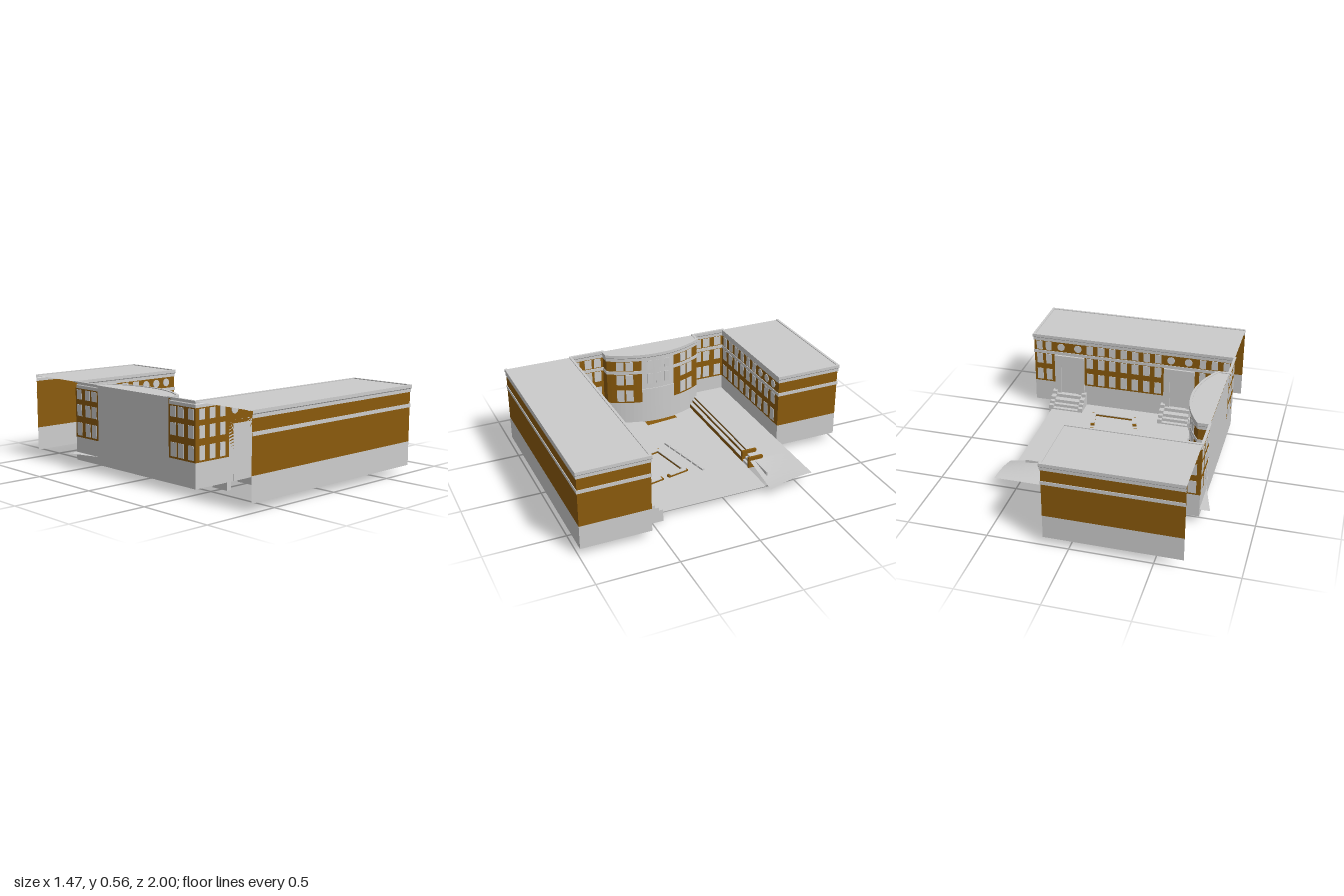
import * as THREE from 'three';

const grey = new THREE.MeshStandardMaterial({ color: 0xcccccc, side: THREE.DoubleSide, flatShading: true });
const brown = new THREE.MeshStandardMaterial({ color: 0x8a5a0c, side: THREE.DoubleSide, flatShading: true });

export function createModel() {
  const root = new THREE.Group();
  const add = (name, geo, mat = grey) => {
    const m = new THREE.Mesh(geo, mat);
    m.name = name;
    root.add(m);
    return m;
  };
  const box = (name, x0, x1, y0, y1, z0, z1, mat) =>
    add(name, new THREE.BoxGeometry(x1 - x0, y1 - y0, z1 - z0), mat)
      .position.set((x0 + x1) / 2, (y0 + y1) / 2, (z0 + z1) / 2);

  // flat polygon lying at height y, outline given as [x, z]
  const slab = (name, pts, y, mat) => {
    const g = new THREE.ShapeGeometry(new THREE.Shape(pts.map(([x, z]) => new THREE.Vector2(x, -z))));
    g.rotateX(-Math.PI / 2);
    add(name, g, mat).position.y = y;
  };

  // shift a plan path outwards with mitred corners
  const offset = (path, d) => path.map((p, i) => {
    const normal = (a, b) => {
      const dx = b[0] - a[0], dz = b[1] - a[1], l = Math.hypot(dx, dz);
      return [-dz / l, dx / l];
    };
    const n1 = normal(path[Math.max(i - 1, 0)], path[i ? i : 1]);
    const j = Math.min(i, path.length - 2);
    const n2 = normal(path[j], path[j + 1]);
    const k = d / (1 + n1[0] * n2[0] + n1[1] * n2[1]);
    return [p[0] + (n1[0] + n2[0]) * k, p[1] + (n1[1] + n2[1]) * k];
  });

  // sweep a profile of [outward, y] along a plan path
  const sweep = (name, path, profile, mat) => {
    const rows = profile.map(([d, y]) => offset(path, d).map(([x, z]) => [x, y, z]));
    const v = [];
    for (let r = 0; r < rows.length - 1; r++) for (let i = 0; i < path.length - 1; i++) {
      const a = rows[r][i], b = rows[r][i + 1], c = rows[r + 1][i + 1], e = rows[r + 1][i];
      v.push(...a, ...b, ...c, ...a, ...c, ...e);
    }
    const g = new THREE.BufferGeometry();
    g.setAttribute('position', new THREE.Float32BufferAttribute(v, 3));
    g.computeVertexNormals();
    add(name, g, mat);
  };

  // bow front: arc bulging towards +x
  const R = 0.5945, cx = -1.0945, half = 0.588;
  const arc = (a0, a1, n) => Array.from({ length: n + 1 }, (_, i) => {
    const a = a0 + (a1 - a0) * i / n;
    return [cx + R * Math.cos(a), R * Math.sin(a)];
  });
  const bow = [[-0.67, 0.33], ...arc(half, -half, 24), [-0.67, -0.33]];
  const front = [[-0.67, 0.992], [0.723, 0.992], [0.723, 0.555], [-0.67, 0.555]];
  const back = [[-0.67, -0.56], [0.157, -0.56], [0.157, -0.992], [-0.67, -0.992]];
  const outline = [...front, ...bow, ...back];

  // walls in stacked layers
  sweep('stoneBase', outline, [[0, 0.05], [0, 0.2]], grey);
  sweep('brickWall', outline, [[0, 0.2], [0, 0.512]], brown);
  sweep('beltCourse', outline, [[0, 0.415], [0.004, 0.415], [0.004, 0.437], [0, 0.437]], grey);
  sweep('cornice', outline, [[0, 0.51], [0.004, 0.51], [0.004, 0.53], [0.008, 0.535], [0.008, 0.555], [-0.008, 0.555], [-0.008, 0.548]], grey);
  slab('frontWingRoof', front, 0.55);
  slab('backWingRoof', back, 0.55);
  slab('bowRoof', bow, 0.55);
  add('bowBackWall', new THREE.PlaneGeometry(0.66, 0.5).rotateY(-Math.PI / 2)).position.set(-0.671, 0.3, 0);

  // windows: three rows at a plan position, facing angle ry (0 = +z)
  const rows = [[0.212, 0.295], [0.337, 0.41], [0.443, 0.505]];
  const windows = (x, z, ry, w, which = [0, 1, 2]) => which.forEach(r => {
    const [y0, y1] = rows[r];
    const m = add('window', new THREE.BoxGeometry(w, y1 - y0, 0.006));
    m.position.set(x, (y0 + y1) / 2, z);
    m.rotation.y = ry;
  });
  const roundel = (x, z) => add('roundWindow', new THREE.CylinderGeometry(0.026, 0.026, 0.008, 20).rotateX(Math.PI / 2)).position.set(x, 0.474, z);

  for (let i = 0; i < 7; i++) windows(-0.155 + i * 0.08, 0.555, 0, 0.046);
  for (const x of [0.62, 0.685, -0.46, -0.54, -0.62]) windows(x, 0.555, 0, 0.042);
  for (let i = 0; i < 9; i++) {
    const x = -0.62 + i * 0.088;
    windows(x, -0.56, 0, 0.05, i > 5 ? [0, 1] : [0, 1, 2]);
    if (i > 5) roundel(x, -0.56);
  }
  for (const s of [-1, 1]) {
    for (const z of [0.37, 0.435, 0.52]) windows(-0.67, s * z, Math.PI / 2, 0.048);
    for (const z of [0.195, 0.252]) {
      const a = Math.asin(s * z / R);
      windows(cx + R * Math.cos(a), R * Math.sin(a), Math.PI / 2 - a, 0.05);
    }
  }

  // stone centre bay of the bow with its portal
  const bay = Math.asin(0.115 / R);
  sweep('bowCentreBay', arc(bay, -bay, 8), [[0, 0.05], [0.004, 0.05], [0.004, 0.512], [0, 0.512]], grey);
  sweep('bowPortal', arc(bay, -bay, 8), [[0, 0.05], [0.01, 0.05], [0.01, 0.3], [0, 0.3]], grey);
  for (const z of [-0.06, 0, 0.06]) windows(-0.497, z, Math.PI / 2, 0.035, [1, 2]);
  slab('doorMat', [[-0.505, -0.12], [-0.465, -0.12], [-0.44, 0.105], [-0.5, 0.105]], 0.053, brown);

  // arched portals with stairs on the courtyard side of the front wing
  const stepped = (lift, floor) => new THREE.Shape([
    [0.555, floor], [0.555, 0.145 + lift], [0.52, 0.145 + lift], [0.52, 0.122 + lift], [0.48, 0.122 + lift],
    [0.48, 0.1 + lift], [0.455, 0.1 + lift], [0.455, 0.08 + lift], [0.43, 0.08 + lift], [0.43, floor],
  ].map(([z, y]) => new THREE.Vector2(-z, y)));
  const stair = (name, x, w, lift, floor) => {
    const g = new THREE.ExtrudeGeometry(stepped(lift, floor), { depth: w, bevelEnabled: false });
    g.rotateY(Math.PI / 2);
    add(name, g).position.x = x - w / 2;
  };
  for (const x of [-0.303, 0.47]) {
    const s = new THREE.Shape([[-0.105, 0.05], [0.105, 0.05], [0.105, 0.413], [-0.105, 0.413]].map(p => new THREE.Vector2(...p)));
    const hole = new THREE.Path();
    hole.moveTo(-0.062, 0.06);
    hole.lineTo(0.062, 0.06);
    hole.lineTo(0.062, 0.315);
    hole.absarc(0, 0.315, 0.062, 0, Math.PI, false);
    hole.lineTo(-0.062, 0.06);
    s.holes.push(hole);
    add('archSurround', new THREE.ExtrudeGeometry(s, { depth: 0.014, bevelEnabled: false, curveSegments: 16 })).position.set(x, 0, 0.541);
    box('archDoor', x - 0.07, x + 0.07, 0.05, 0.39, 0.552, 0.556);
    roundel(x - 0.06, 0.555);
    roundel(x + 0.06, 0.555);
    stair('steps', x, 0.18, -0.02, 0.05);
    for (const s2 of [-1, 1]) stair('stairCheek', x + s2 * 0.104, 0.03, 0, 0);
  }

  // courtyard floor, stepped retaining wall and rear terrace
  slab('courtyard', [[-0.67, 0.555], [0.57, 0.555], [0.57, -0.265], [-0.67, -0.265]], 0.05);
  const steps = [[-0.265, 0.05, 0.08], [-0.29, 0.08, 0.1], [-0.31, 0.1, 0.115]];
  steps.forEach(([z, y0, y1], i) => {
    const zb = i < 2 ? steps[i + 1][0] : -0.325;
    box('retainingWall', -0.6, 0.235, y0 - (i ? 0 : 0.005), y1 - 0.004, zb, z, brown);
    box('retainingCap', -0.6, 0.235, y1 - 0.004, y1, zb, z);
  });
  slab('terrace', [[-0.67, -0.3], [0.33, -0.3], [0.33, -0.56], [-0.735, -0.56], [-0.67, -0.33]], 0.1);
  for (const x of [0.237, 0.326]) box('stairPier', x - 0.008, x + 0.008, 0.05, 0.122, -0.365, -0.265, brown);
  for (let i = 0; i < 3; i++) box('terraceStep', 0.245, 0.318, 0.05, 0.066 + i * 0.016, -0.32, -0.27 - i * 0.016);

  // curved slope from the terrace down to the courtyard
  const slope = new THREE.PlaneGeometry(0.285, 0.285, 10, 10).rotateX(-Math.PI / 2).translate(0.4725, 0, -0.4175);
  const p = slope.attributes.position;
  for (let i = 0; i < p.count; i++) {
    const u = (p.getX(i) - 0.33) / 0.285, v = (p.getZ(i) + 0.56) / 0.285;
    p.setY(i, 0.1 - 0.05 * u * v * v);
  }
  slope.computeVertexNormals();
  add('slope', slope);
  box('slopeKerb', 0.334, 0.5, 0.05, 0.1, -0.315, -0.305);

  // upright bar between two plan points
  const bar = (name, a, b, w, y0, y1, mat) => {
    const dx = b[0] - a[0], dz = b[1] - a[1];
    const m = add(name, new THREE.BoxGeometry(Math.hypot(dx, dz) + (mat ? w : 0), y1 - y0, w), mat || grey);
    m.position.set((a[0] + b[0]) / 2, (y0 + y1) / 2, (a[1] + b[1]) / 2);
    m.rotation.y = -Math.atan2(dz, dx);
  };

  // planter ring with an opening on two sides
  const A = [-0.093, 0.177], B = [0.198, 0.115], C = [0.262, 0.43], D = [-0.02, 0.43];
  const ring = [[A, B], [B, [0.221, 0.23]], [[0.234, 0.295], C], [C, D], [D, [-0.042, 0.36]], [[-0.065, 0.295], A]];
  for (const [a, b] of ring) {
    bar('planterWall', a, b, 0.026, 0.018, 0.062, brown);
    bar('planterCap', a, b, 0.028, 0.062, 0.067);
  }

  // row of low stone benches
  for (let i = 0; i < 7; i++) {
    const at = t => [-0.16 + 0.41 * t, 0.095 - 0.09 * t];
    bar('bench', at(i / 7), at((i + 0.85) / 7), 0.015, 0.05, 0.062);
  }
  return root;
}
